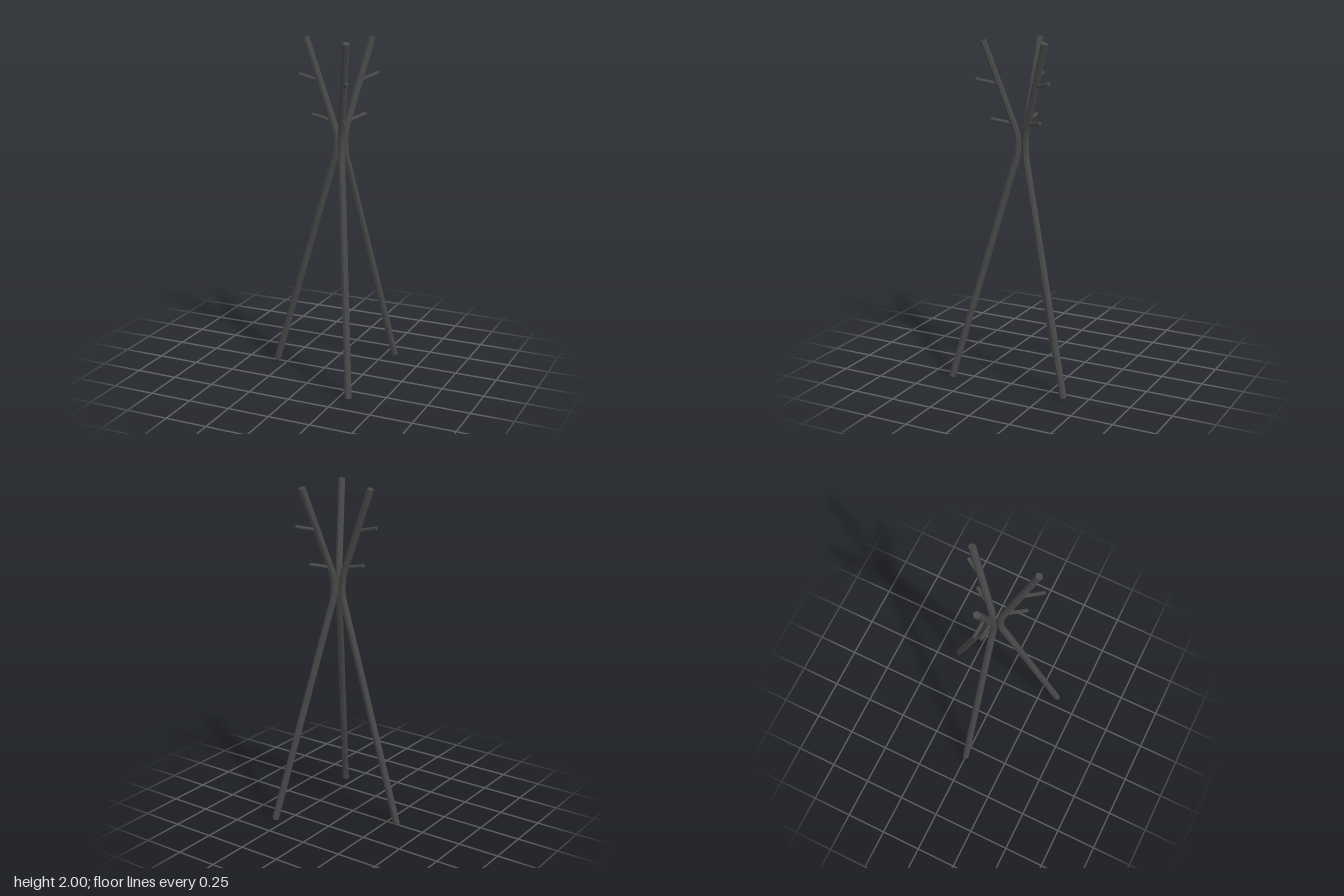
import * as THREE from 'three';

// Bends an eight-sided rod along a path of [outward, up] points, square-cut at both ends
function rod(path, radius) {
  const n = path.length - 1;
  const pts = path.map(([x, y]) => new THREE.Vector2(x, y));
  const geo = new THREE.CylinderGeometry(radius, radius, 1, 8, n, false, Math.PI / 8);
  const pos = geo.attributes.position;
  for (let i = 0; i < pos.count; i++) {
    const k = Math.round((pos.getY(i) + 0.5) * n);
    const t = pts[Math.min(k + 1, n)].clone().sub(pts[Math.max(k - 1, 0)]).normalize();
    const offset = pos.getX(i);
    pos.setXYZ(i, pts[k].x + t.y * offset, pts[k].y - t.x * offset, pos.getZ(i));
  }
  const flat = geo.toNonIndexed();
  flat.computeVertexNormals();
  return flat;
}

export function createModel() {
  const model = new THREE.Group();
  model.name = 'coatStand';
  const charcoal = new THREE.MeshStandardMaterial({ color: 0x484848 });
  charcoal.name = 'charcoal';

  // Straight leg, soft bend at the waist, straight arm
  const bend = new THREE.QuadraticBezierCurve(
    new THREE.Vector2(0.054, 1.26), new THREE.Vector2(0.002, 1.4), new THREE.Vector2(0.05, 1.52)
  ).getPoints(8).map(p => [p.x, p.y]);
  const poleGeo = rod([[0.421, 0.005], ...bend, [0.221, 1.994]], 0.0206);

  // Coat pegs, from the pole's core to the tip
  const pegGeos = {
    lowerPeg: rod([[0.055, 1.523], [0.178, 1.552]], 0.0105),
    upperPeg: rod([[0.135, 1.747], [0.262, 1.779]], 0.0105),
  };

  // Three identical poles around the waist
  for (let i = 0; i < 3; i++) {
    const branch = new THREE.Group();
    branch.name = 'branch' + (i + 1);
    const pole = new THREE.Mesh(poleGeo, charcoal);
    pole.name = 'pole';
    branch.add(pole);
    for (const [name, geo] of Object.entries(pegGeos)) {
      const peg = new THREE.Mesh(geo, charcoal);
      peg.name = name;
      branch.add(peg);
    }
    branch.position.set(0.102, 0, -0.001);
    branch.rotation.y = Math.PI / 3 + i * Math.PI * 2 / 3;
    model.add(branch);
  }
  return model;
}
